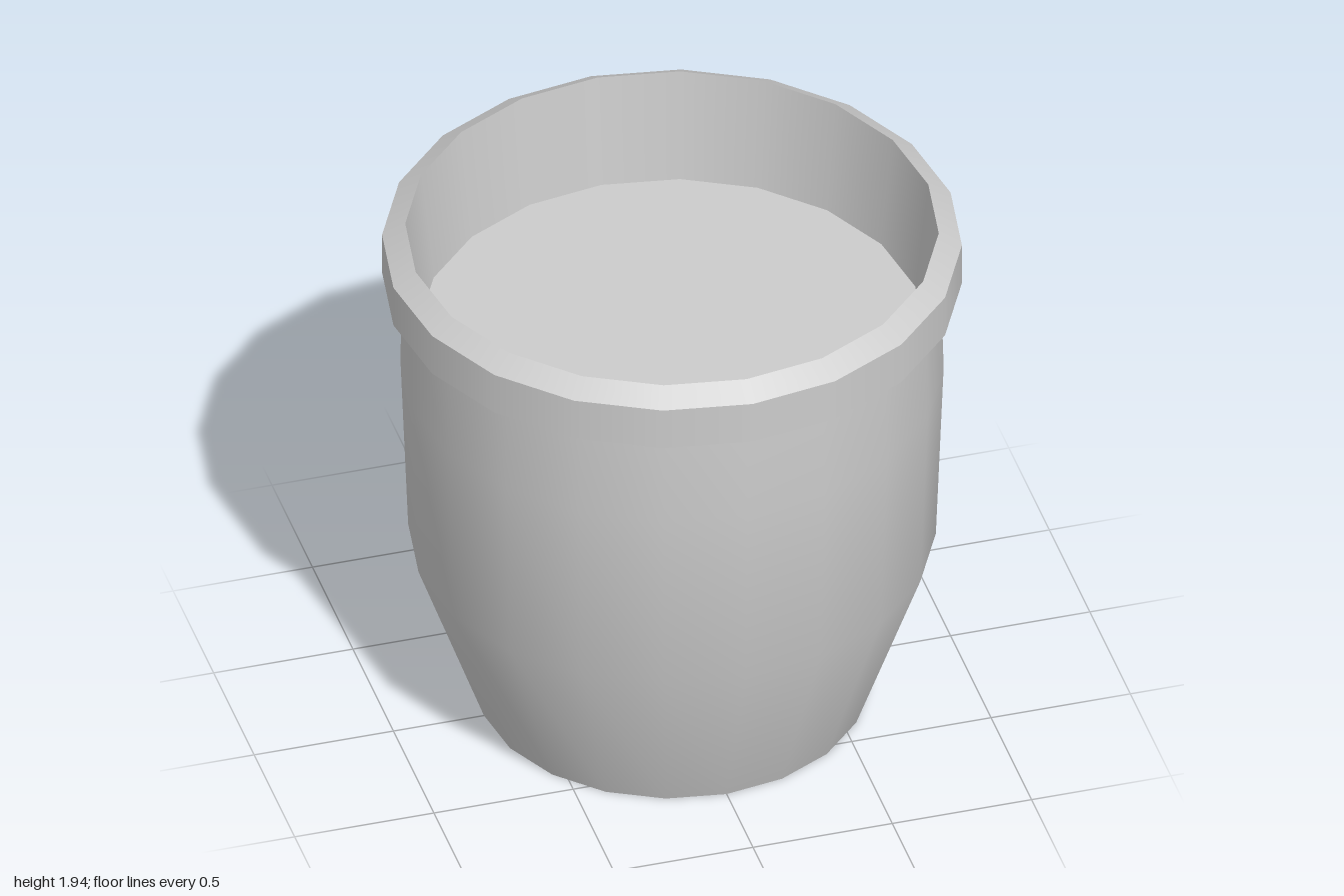
import * as THREE from 'three';

const SIDES = 20;

export function createModel() {
  const group = new THREE.Group();
  const material = new THREE.MeshStandardMaterial({ color: 0xcccccc });

  const add = (name, geometry) => {
    const mesh = new THREE.Mesh(geometry, material);
    mesh.name = name;
    group.add(mesh);
    return mesh;
  };
  // Each band is its own lathe, so edges between bands stay sharp
  const band = (name, ...points) =>
    add(name, new THREE.LatheGeometry(points.map(([r, y]) => new THREE.Vector2(r, y)), SIDES));
  const disc = (name, radius, y, facing) => {
    const mesh = add(name, new THREE.CircleGeometry(radius, SIDES));
    mesh.rotation.x = -facing * Math.PI / 2;
    mesh.position.y = y;
  };

  // Pot body: tapered foot, gently bulging wall
  disc('base', 0.675, 0, -1);
  band('wall', [0.675, 0], [0.91, 0.66], [0.937, 1.37], [0.927, 1.73]);

  // Overhanging rim with a bevelled lip
  band('rimUnderside', [0.927, 1.73], [1, 1.73]);
  band('rim', [1, 1.73], [1, 1.89]);
  band('lip', [1, 1.89], [0.92, 1.94]);

  // Inside wall down to the soil
  band('innerWall', [0.92, 1.94], [0.873, 1.515]);
  disc('soil', 0.873, 1.515, 1);

  return group;
}
